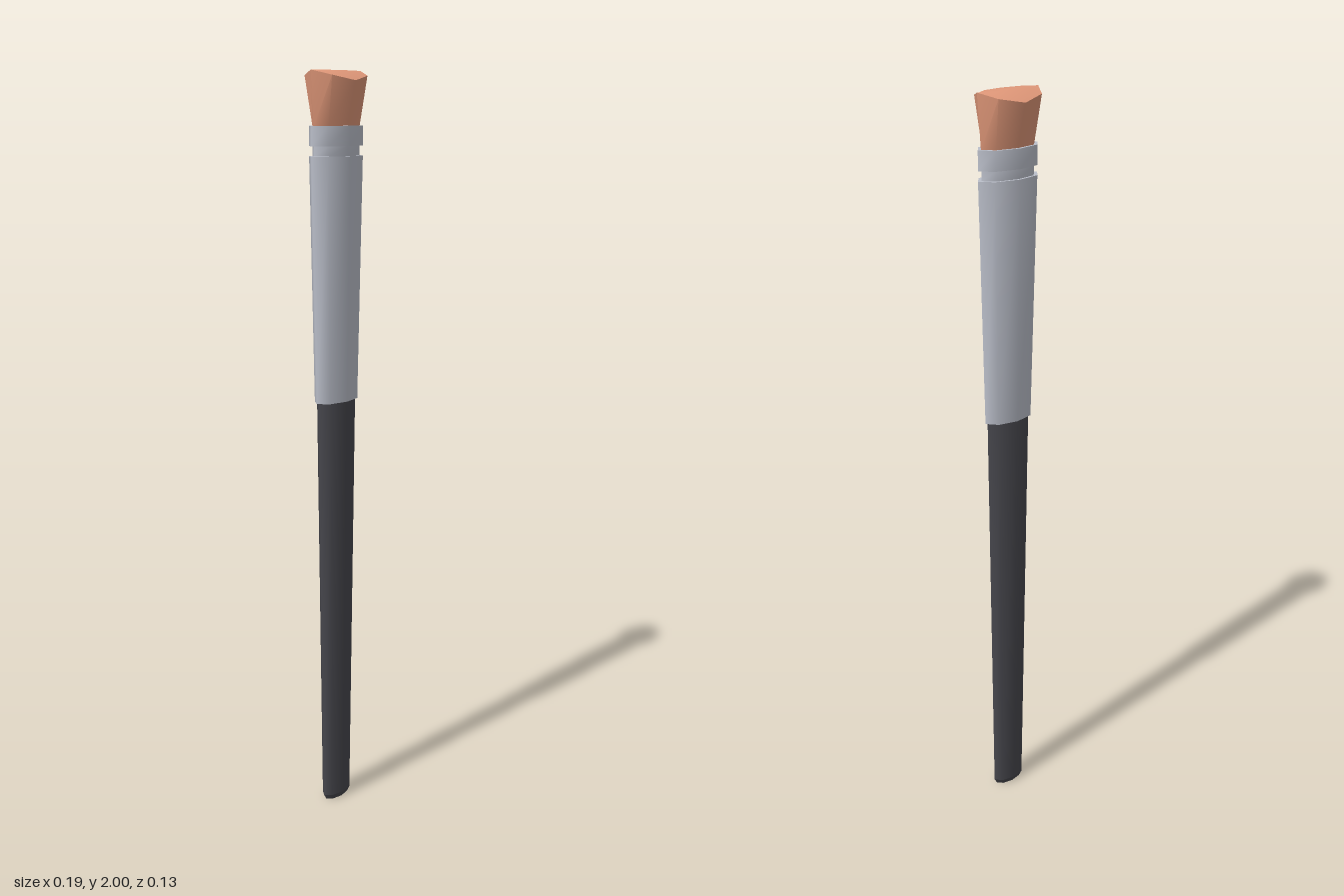
import * as THREE from 'three';
import { toCreasedNormals } from 'three/addons/utils/BufferGeometryUtils.js';

const SIDES = 8;

// One section is [y, half width, half depth, drop of the rim towards front and back]
function ringPoints([y, rx, rz, drop = 0]) {
  const points = [];
  for (let i = 0; i < SIDES; i++) {
    const a = (i / SIDES) * Math.PI * 2;
    points.push(rx * Math.cos(a), y - drop * Math.sin(a) ** 2, rz * Math.sin(a));
  }
  return points;
}

// Closed oval loft: each band has its own vertices, so it is smooth around and sharp along the height
function loft(sections) {
  const positions = [];
  const index = [];
  for (let s = 0; s < sections.length - 1; s++) {
    const base = positions.length / 3;
    positions.push(...ringPoints(sections[s]), ...ringPoints(sections[s + 1]));
    for (let i = 0; i < SIDES; i++) {
      const a = base + i;
      const b = base + ((i + 1) % SIDES);
      index.push(a, a + SIDES, b, b, a + SIDES, b + SIDES);
    }
  }
  // End caps
  for (const [section, top] of [[sections[0], false], [sections[sections.length - 1], true]]) {
    const base = positions.length / 3;
    positions.push(...ringPoints(section), 0, section[0], 0);
    for (let i = 0; i < SIDES; i++) {
      const a = base + i;
      const b = base + ((i + 1) % SIDES);
      index.push(base + SIDES, top ? b : a, top ? a : b);
    }
  }
  const geometry = new THREE.BufferGeometry();
  geometry.setAttribute('position', new THREE.Float32BufferAttribute(positions, 3));
  geometry.setIndex(index);
  geometry.computeVertexNormals();
  return geometry;
}

export function createModel() {
  const materials = {};
  for (const [name, color] of [['charcoal', 0x47474d], ['silver', 0xbcc0cb], ['copper', 0xe2997a]]) {
    materials[name] = new THREE.MeshStandardMaterial({ color });
    materials[name].name = name;
  }

  const group = new THREE.Group();
  group.name = 'brush';
  const add = (name, geometry, material) => {
    const mesh = new THREE.Mesh(geometry, materials[material]);
    mesh.name = name;
    group.add(mesh);
  };

  // Tapered handle with a bevelled foot
  add('handle', loft([
    [0, 0.043, 0.02],
    [0.015, 0.052, 0.026],
    [1.16, 0.07, 0.034],
  ]), 'charcoal');

  // Metal sleeve with a groove and a collar
  add('ferrule', loft([
    [1.155, 0.077, 0.039],
    [1.79, 0.095, 0.046],
    [1.79, 0.084, 0.039],
    [1.815, 0.084, 0.039],
    [1.815, 0.095, 0.046],
    [1.865, 0.095, 0.046],
  ]), 'silver');

  // Flared bristle head with a rounded top
  add('bristles', toCreasedNormals(loft([
    [1.863, 0.085, 0.038],
    [2, 0.096, 0.065, 0.025],
    [2, 0.082, 0.028],
  ]), 0.7), 'copper');

  return group;
}
